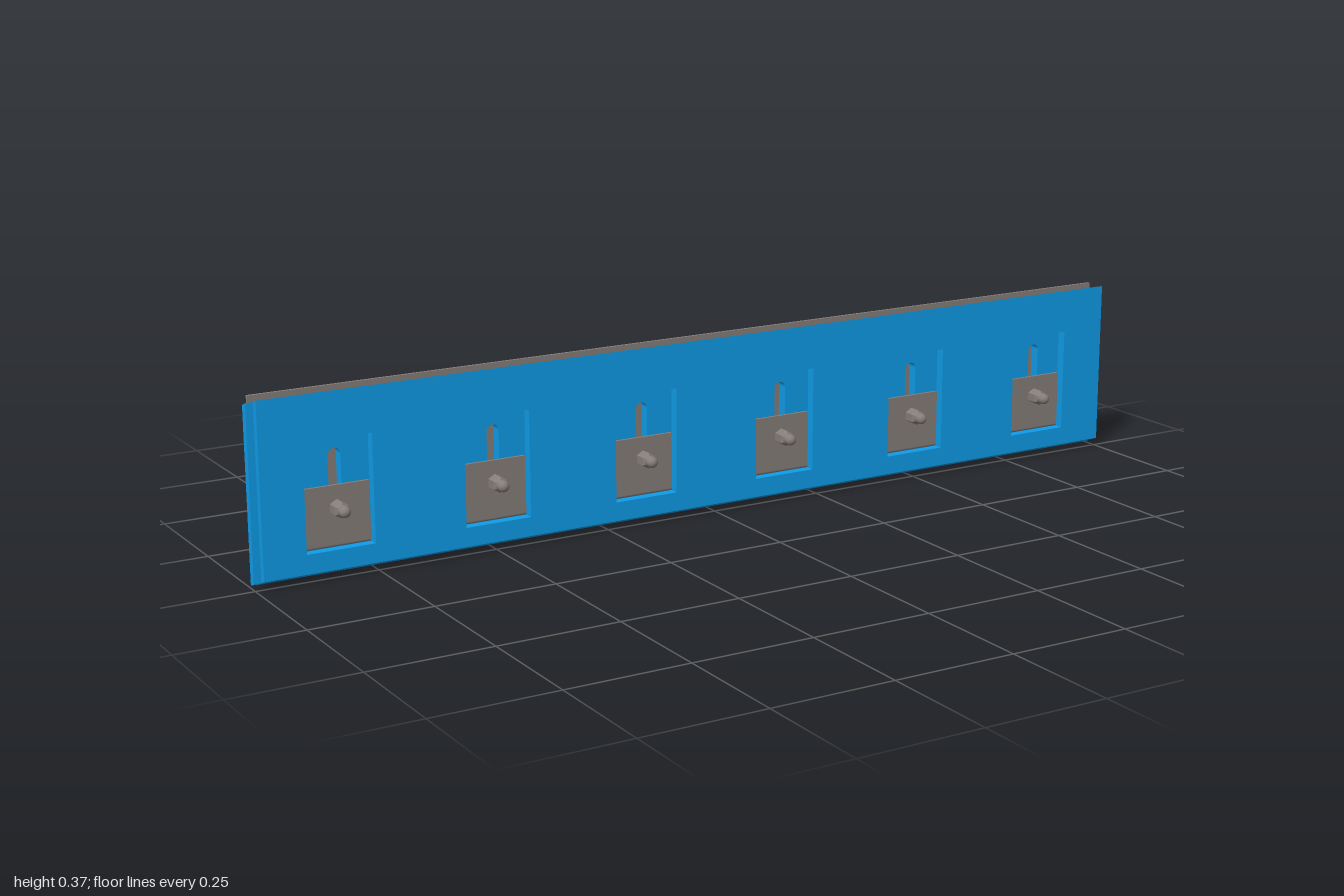
import * as THREE from 'three';

const BLUE = new THREE.MeshStandardMaterial({ color: 0x0f9be6 });
const STEEL = new THREE.MeshStandardMaterial({ color: 0x857d7a });
const CENTRES = [-0.828, -0.497, -0.165, 0.165, 0.497, 0.828];
const TOP = 0.367, BOTTOM = 0.018, FRONT = 0.008, SLOPE = 0.42;

function mesh(name, geometry, material) {
  const m = new THREE.Mesh(geometry, material);
  m.name = name;
  return m;
}

function rect(x0, x1, y0, y1, Type = THREE.Shape) {
  return new Type([[x0, y0], [x1, y0], [x1, y1], [x0, y1]].map(p => new THREE.Vector2(...p)));
}

// Rounded-end slot, upright or lying
function slot(cx, cy, length, width, upright) {
  const r = width / 2, h = length / 2 - r, p = new THREE.Path();
  if (upright) {
    p.absarc(cx, cy + h, r, 0, Math.PI);
    p.absarc(cx, cy - h, r, Math.PI, Math.PI * 2);
  } else {
    p.absarc(cx + h, cy, r, -Math.PI / 2, Math.PI / 2);
    p.absarc(cx - h, cy, r, Math.PI / 2, Math.PI * 1.5);
  }
  p.closePath();
  return p;
}

function slab(shape, z0, z1) {
  const g = new THREE.ExtrudeGeometry(shape, { depth: z1 - z0, bevelEnabled: false, curveSegments: 10 });
  return g.translate(0, 0, z0);
}

// One layer of the panel; its outer top and bottom edges slope down to the back
function panelLayer(x0, x1, z0, z1, hole) {
  const shape = rect(x0, x1, BOTTOM, TOP);
  shape.holes = CENTRES.map(hole);
  const g = slab(shape, z0, z1), p = g.attributes.position;
  for (let i = 0; i < p.count; i++) {
    const y = p.getY(i);
    if (y < BOTTOM + 0.001 || y > TOP - 0.001) p.setY(i, y + (p.getZ(i) - FRONT) * SLOPE);
  }
  g.computeVertexNormals();
  return g;
}

// Bent clamp plate with a foot reaching back, seen in section and extruded across
function clampGeometry() {
  const s = new THREE.Shape();
  s.moveTo(0.006, 0.18);
  s.lineTo(0.006, 0.064);
  s.quadraticCurveTo(0.006, 0.058, 0.012, 0.058);
  s.lineTo(0.012, 0.18);
  s.closePath();
  const g = new THREE.ExtrudeGeometry(s, { depth: 0.134, bevelEnabled: false, curveSegments: 5 });
  return g.translate(0, 0, -0.067).rotateY(Math.PI / 2);
}

function domeNut() {
  const nut = new THREE.Group();
  nut.name = 'domeNut';
  const hex = new THREE.CylinderGeometry(0.0165, 0.0165, 0.022, 6).toNonIndexed();
  hex.computeVertexNormals();
  hex.rotateX(Math.PI / 2).translate(0, 0, 0.005);
  const chamfer = new THREE.CylinderGeometry(0.0125, 0.0165, 0.006, 6).toNonIndexed();
  chamfer.computeVertexNormals();
  chamfer.rotateX(Math.PI / 2).translate(0, 0, 0.019);
  const profile = [new THREE.Vector2(0.0115, 0.02), new THREE.Vector2(0.0115, 0.031)];
  for (let i = 1; i <= 8; i++) {
    const a = i / 8 * Math.PI / 2;
    profile.push(new THREE.Vector2(0.0115 * Math.cos(a), 0.031 + 0.011 * Math.sin(a)));
  }
  const cap = new THREE.LatheGeometry(profile, 24).rotateX(Math.PI / 2);
  // Stud running back through the panel
  const stud = new THREE.CylinderGeometry(0.009, 0.009, 0.03, 16).rotateX(Math.PI / 2).translate(0, 0, -0.02);
  nut.add(mesh('nutHex', hex, STEEL), mesh('nutChamfer', chamfer, STEEL),
    mesh('nutCap', cap, STEEL), mesh('stud', stud, STEEL));
  return nut;
}

export function createModel() {
  const model = new THREE.Group();
  model.name = 'clampedPanel';

  // Panel: open pockets at the front, slots behind, tongue on one end and groove on the other
  const pocket = x => rect(x - 0.07, x + 0.07, 0.057, 0.275, THREE.Path);
  const boltSlot = x => slot(x, 0.178, 0.145, 0.026, true);
  const panel = new THREE.Group();
  panel.name = 'panel';
  panel.add(
    mesh('panelFront', panelLayer(-0.985, 1, -0.006, FRONT, pocket), BLUE),
    mesh('coreFront', panelLayer(-1, 0.985, -0.012, -0.006, pocket), BLUE),
    mesh('coreBack', panelLayer(-1, 0.985, -0.022, -0.012, boltSlot), BLUE),
    mesh('panelBack', panelLayer(-0.985, 1, -0.034, -0.022, boltSlot), BLUE));
  model.add(panel);

  // Steel backing plate with a lying slot behind each clamp
  const plate = rect(-0.985, 1, 0.037, TOP);
  plate.holes = CENTRES.map(x => slot(x, 0.064, 0.042, 0.015, false));
  model.add(mesh('backPlate', slab(plate, -0.041, -0.035), STEEL));

  // Clamps and nuts
  const clamp = clampGeometry();
  for (const x of CENTRES) {
    const unit = new THREE.Group();
    unit.name = 'clampUnit';
    const nut = domeNut();
    nut.position.y = 0.136;
    const bracket = mesh('clamp', clamp, STEEL);
    unit.add(bracket, nut);
    unit.position.x = x;
    model.add(unit);
  }
  return model;
}
